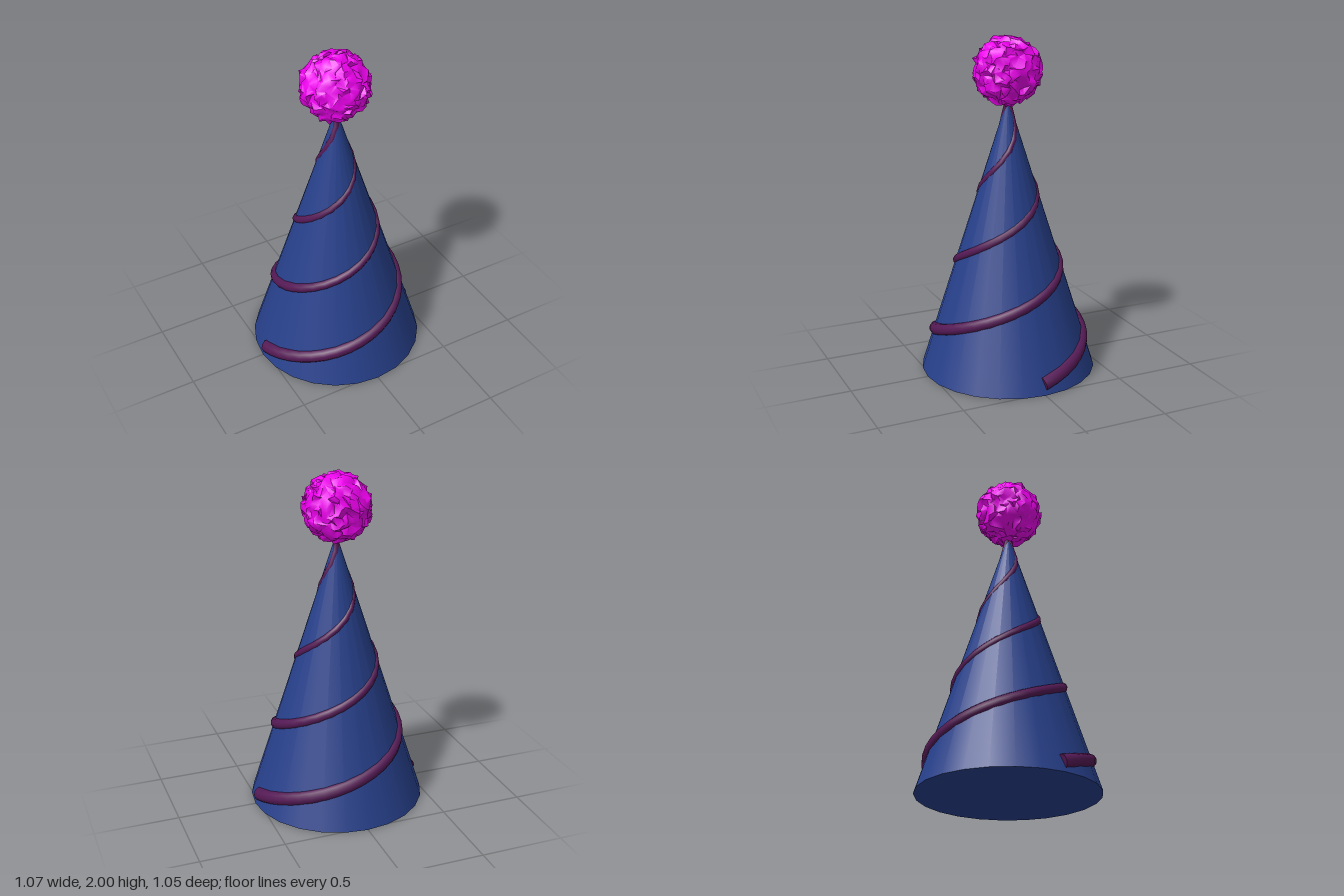
import * as THREE from 'three';
import { mergeVertices, mergeGeometries, toCreasedNormals } from 'three/addons/utils/BufferGeometryUtils.js';

const BASE_RADIUS = 0.525, APEX = 1.65;
const START_Y = 0.06, PITCH = 0.89, TURNS = 1.75;

const coneRadius = (y) => BASE_RADIUS * (1 - y / APEX);

// Path that winds up the cone, sunk slightly below its surface
class ConeSpiral extends THREE.Curve {
  getPoint(t, target = new THREE.Vector3()) {
    const a = t * TURNS * Math.PI * 2;
    const y = START_Y + t * TURNS * PITCH;
    const r = Math.max(0.003, coneRadius(y) - 0.014);
    return target.set(-Math.cos(a) * r, y, Math.sin(a) * r);
  }
}

// Tapered, capped cord along the spiral
function cordGeometry() {
  const rings = 44, sides = 10, r0 = 0.043, r1 = 0.018;
  const path = new ConeSpiral();
  const tube = new THREE.TubeGeometry(path, rings, r0, sides, false);
  const pos = tube.attributes.position;
  const v = new THREE.Vector3();
  for (let i = 0; i <= rings; i++) {
    const centre = path.getPointAt(i / rings);
    const scale = THREE.MathUtils.lerp(r0, r1, i / rings) / r0;
    for (let j = 0; j <= sides; j++) {
      const k = i * (sides + 1) + j;
      v.fromBufferAttribute(pos, k).sub(centre).multiplyScalar(scale).add(centre);
      pos.setXYZ(k, v.x, v.y, v.z);
    }
  }
  // flat ends
  const caps = [[0, r0, -1], [1, r1, 1]].map(([t, r, dir]) => {
    const cap = new THREE.CircleGeometry(r, sides);
    const q = new THREE.Quaternion().setFromUnitVectors(
      new THREE.Vector3(0, 0, 1), path.getTangentAt(t).multiplyScalar(dir));
    const p = path.getPointAt(t);
    return cap.applyQuaternion(q).translate(p.x, p.y, p.z);
  });
  return mergeGeometries([tube, ...caps]);
}

// Ball with every vertex nudged in a random direction
function pompomGeometry() {
  let seed = 7;
  const rand = () => {
    seed = (seed * 16807) % 2147483647;
    return seed / 2147483647 - 0.5;
  };
  let geo = new THREE.IcosahedronGeometry(0.193, 7);
  geo.deleteAttribute('uv');
  geo.deleteAttribute('normal');
  geo = mergeVertices(geo, 1e-4);
  const pos = geo.attributes.position;
  for (let i = 0; i < pos.count; i++) {
    pos.setXYZ(i, pos.getX(i) + rand() * 0.034, pos.getY(i) + rand() * 0.034, pos.getZ(i) + rand() * 0.034);
  }
  return toCreasedNormals(geo, 1.0);
}

export function createModel() {
  const group = new THREE.Group();
  group.name = 'partyHat';
  const add = (name, geometry, color) => {
    const mesh = new THREE.Mesh(geometry, new THREE.MeshStandardMaterial({ color }));
    mesh.name = name;
    group.add(mesh);
    return mesh;
  };

  // Hat body with closed base
  add('hatCone', new THREE.ConeGeometry(BASE_RADIUS, APEX, 24), 0x27408b).position.y = APEX / 2;

  // Two cords starting on opposite sides
  const cord = cordGeometry();
  add('spiralCordRight', cord, 0x551a55);
  add('spiralCordLeft', cord, 0x551a55).rotation.y = Math.PI;

  // Fluffy ball on the tip
  add('pompom', pompomGeometry(), 0xee00ee).position.set(-0.005, 1.8, 0);

  return group;
}
